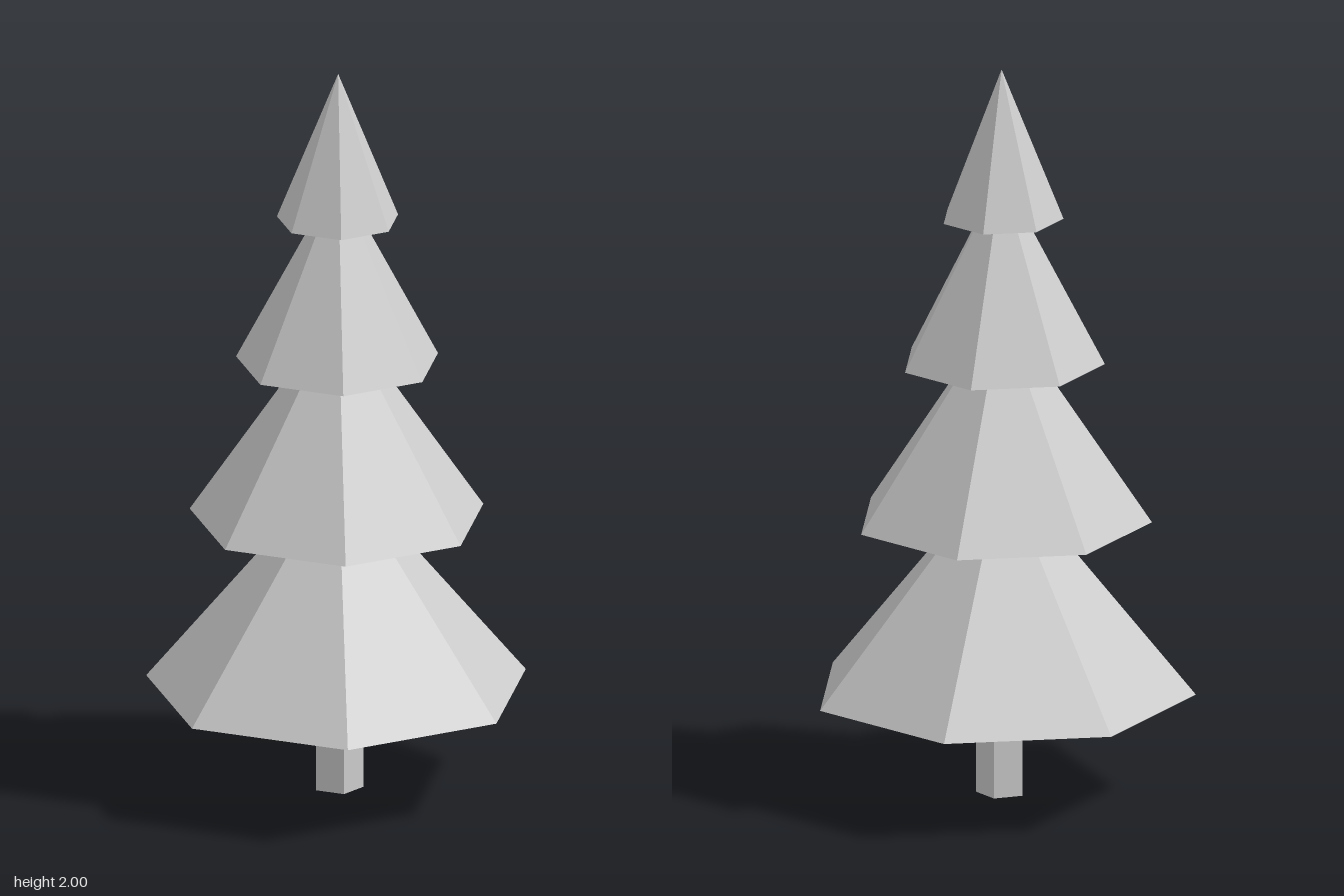
import * as THREE from 'three';

export function createModel() {
  const group = new THREE.Group();
  const grey = new THREE.MeshStandardMaterial({ color: 0xcccccc });
  grey.name = 'light grey';
  const axisZ = 0.025; // the odd-sided footprint puts the axis slightly forward

  // Faceted solid with a corner facing the back
  function addPart(name, topRadius, bottomRadius, bottom, top, sides) {
    const geometry = new THREE.CylinderGeometry(
      topRadius, bottomRadius, top - bottom, sides, 1, false, Math.PI
    ).toNonIndexed();
    geometry.computeVertexNormals(); // flat facets
    const mesh = new THREE.Mesh(geometry, grey);
    mesh.name = name;
    mesh.position.set(0, (bottom + top) / 2, axisZ);
    group.add(mesh);
  }

  // Five-sided trunk
  addPart('trunk', 0.068, 0.068, 0, 0.3, 5);

  // Seven-sided foliage cones, from the bottom up: radius, base height, tip height
  const tiers = [
    [0.517, 0.28, 0.905],
    [0.4, 0.755, 1.343],
    [0.275, 1.19, 1.713],
    [0.165, 1.59, 2],
  ];
  tiers.forEach(([radius, base, tip], i) => {
    addPart(`foliageTier${i + 1}`, 0, radius, base, tip, 7);
  });

  return group;
}
